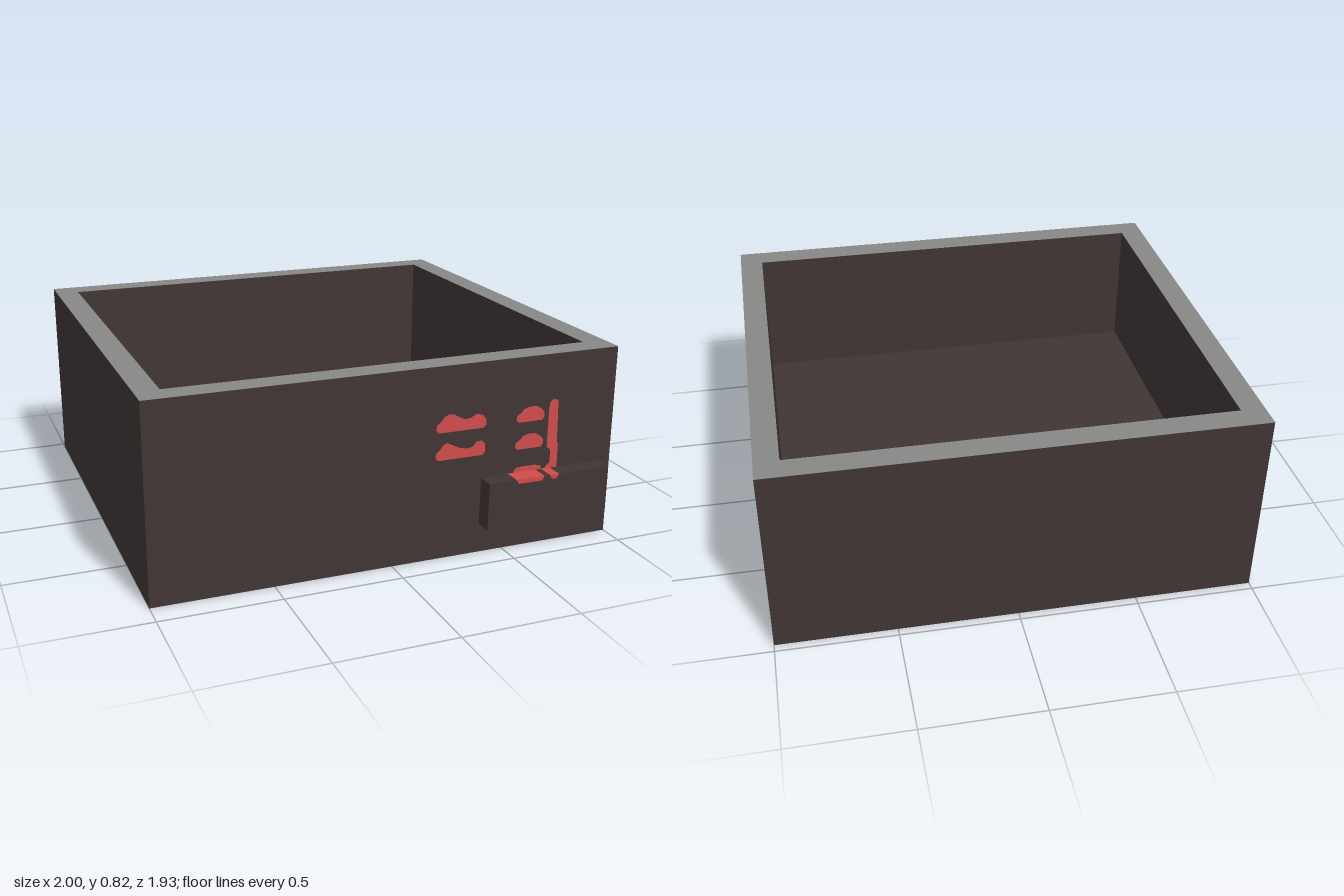
import * as THREE from 'three';

const brown = new THREE.MeshStandardMaterial({ name: 'dark brown', color: 0x413535 });
const grey = new THREE.MeshStandardMaterial({ name: 'rim grey', color: 0x878785 });
const red = new THREE.MeshStandardMaterial({ name: 'painted red', color: 0xd04c4c });

const TOP = 0.825, FLOOR = 0.25, FRONT = 0.89, BACK = -0.965;
const INNER_X = 0.9, INNER_FRONT = 0.786, INNER_BACK = -0.861;
const LEDGE_TOP = 0.33, LEDGE_FRONT = 0.964, PAINT = 0.001;

function add(group, name, geometry, material) {
  const mesh = new THREE.Mesh(geometry, material);
  mesh.name = name;
  group.add(mesh);
  return mesh;
}

// Box given by its minimum and maximum corners
function block(group, name, [x0, y0, z0], [x1, y1, z1], material) {
  const mesh = add(group, name, new THREE.BoxGeometry(x1 - x0, y1 - y0, z1 - z0), material);
  mesh.position.set((x0 + x1) / 2, (y0 + y1) / 2, (z0 + z1) / 2);
}

// Counter-clockwise outline in plan
function rectangle(Type, x0, z0, x1, z1) {
  const points = [[x0, z1], [x1, z1], [x1, z0], [x0, z0]];
  return new Type(points.map(([x, z]) => new THREE.Vector2(x, -z)));
}

// Hollow rectangular frame standing between two heights
function frame(group, name, y0, y1, material) {
  const shape = rectangle(THREE.Shape, -1, BACK, 1, FRONT);
  shape.holes.push(rectangle(THREE.Path, -INNER_X, INNER_BACK, INNER_X, INNER_FRONT));
  const geometry = new THREE.ExtrudeGeometry(shape, { depth: y1 - y0, bevelEnabled: false });
  geometry.rotateX(-Math.PI / 2);
  add(group, name, geometry, material).position.y = y0;
}

// Thin painted mark on the front, from an outline in x and y
function mark(group, name, points, z) {
  const shape = new THREE.Shape(points.map(([x, y]) => new THREE.Vector2(x, y)));
  const geometry = new THREE.ExtrudeGeometry(shape, { depth: PAINT, bevelEnabled: false });
  add(group, name, geometry, red).position.z = z;
}

export function createModel() {
  const model = new THREE.Group();
  model.name = 'openBox';

  // Open box: walls, raised floor, grey rim
  frame(model, 'walls', 0, TOP - PAINT, brown);
  frame(model, 'rim', TOP - PAINT, TOP, grey);
  block(model, 'floor', [-INNER_X, 0, INNER_BACK], [INNER_X, FLOOR, INNER_FRONT], brown);

  // Ledge on the front
  block(model, 'ledge', [0.39, 0.127, FRONT], [0.948, LEDGE_TOP, LEDGE_FRONT], brown);

  // Two wide wavy marks
  mark(model, 'upperWideMark', [
    [0.18, 0.56], [0.182, 0.58], [0.2, 0.593], [0.213, 0.611], [0.235, 0.622], [0.26, 0.618],
    [0.285, 0.602], [0.31, 0.592], [0.335, 0.597], [0.36, 0.609], [0.385, 0.602], [0.402, 0.582],
    [0.403, 0.56], [0.392, 0.547], [0.192, 0.547]], FRONT);
  mark(model, 'lowerWideMark', [
    [0.18, 0.442], [0.182, 0.46], [0.2, 0.475], [0.21, 0.492], [0.23, 0.502], [0.25, 0.492],
    [0.285, 0.475], [0.32, 0.467], [0.345, 0.47], [0.36, 0.49], [0.383, 0.493], [0.4, 0.48],
    [0.403, 0.445], [0.392, 0.43], [0.192, 0.43]], FRONT);

  // Two short rounded marks, one above the other
  for (const [name, y] of [['upperShortMark', 0.547], ['middleShortMark', 0.43]]) {
    mark(model, name, [
      [0.54, y + 0.013], [0.543, y + 0.03], [0.56, y + 0.04], [0.575, y + 0.056], [0.6, y + 0.064],
      [0.635, y + 0.062], [0.655, y + 0.048], [0.669, y + 0.034], [0.671, y + 0.015], [0.66, y], [0.55, y]], FRONT);
  }

  // Lowest short mark and tall bar
  mark(model, 'lowerShortMark', [
    [0.54, LEDGE_TOP], [0.545, 0.348], [0.57, 0.353], [0.64, 0.353], [0.665, 0.345], [0.67, LEDGE_TOP]], FRONT);
  mark(model, 'tallBar', [
    [0.685, LEDGE_TOP], [0.69, 0.34], [0.708, 0.355], [0.708, 0.41], [0.69, 0.425], [0.69, 0.59],
    [0.695, 0.62], [0.71, 0.63], [0.732, 0.625], [0.737, 0.44], [0.743, 0.43], [0.743, LEDGE_TOP]], FRONT);

  // Paint carried over the top of the ledge and onto its face
  for (const [name, x0, x1] of [['wideLedgeStripe', 0.513, 0.642], ['narrowLedgeStripe', 0.668, 0.71]]) {
    block(model, name, [x0, LEDGE_TOP, FRONT], [x1, LEDGE_TOP + PAINT, LEDGE_FRONT + PAINT], red);
    mark(model, name + 'Edge', [
      [x0, LEDGE_TOP], [x0 + 0.012, 0.312], [x1 - 0.01, 0.312], [x1, LEDGE_TOP]], LEDGE_FRONT);
  }

  return model;
}
